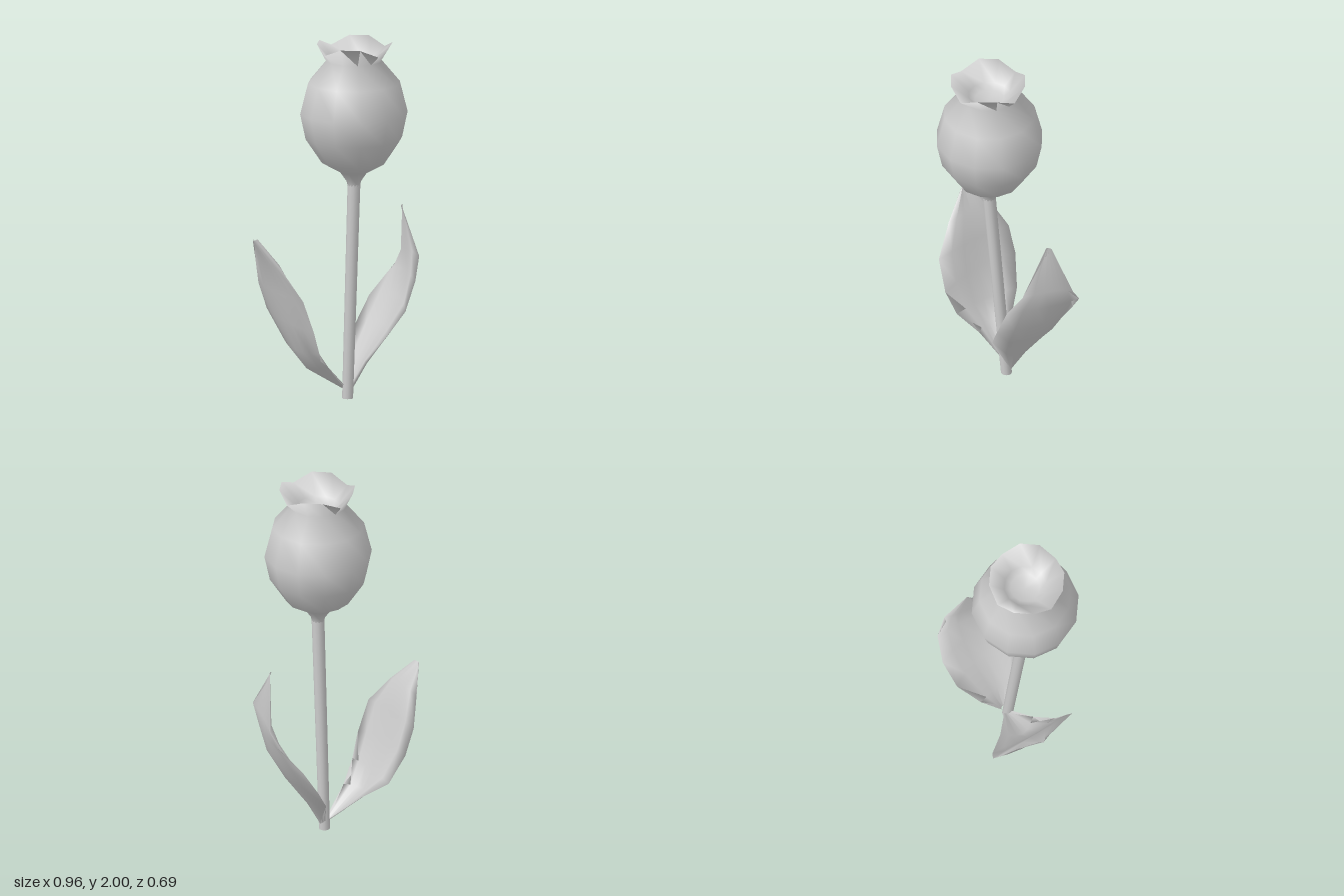
import * as THREE from 'three';
import { mergeVertices } from 'three/addons/utils/BufferGeometryUtils.js';

const material = new THREE.MeshStandardMaterial({ color: 0xcccccc, side: THREE.DoubleSide });

function addMesh(group, name, geometry) {
  const mesh = new THREE.Mesh(geometry, material);
  mesh.name = name;
  group.add(mesh);
  return mesh;
}

// Drop seams so that the shading runs smoothly all the way round.
function smooth(geometry) {
  geometry.deleteAttribute('uv');
  geometry.deleteAttribute('normal');
  const merged = mergeVertices(geometry, 1e-4);
  merged.computeVertexNormals();
  return merged;
}

// Closed flower head: twelve-sided lathe with a notched, flared rim and a bowl inside.
function flowerGeometry() {
  const profile = [
    [0.033, 1.2], [0.04, 1.23], [0.075, 1.28], [0.175, 1.335], [0.265, 1.47], [0.295, 1.61],
    [0.252, 1.78], [0.152, 1.9], [0.208, 2.0], [0.115, 1.9], [0.08, 1.875], [0, 1.865],
  ].map(([r, y]) => new THREE.Vector2(r, y));
  const rim = 8;
  const sides = 12;
  const geometry = new THREE.LatheGeometry(profile, sides, THREE.MathUtils.degToRad(9));
  const position = geometry.attributes.position;
  // Every third rim corner dips, leaving four petal tips.
  for (let i = 0; i <= sides; i++) {
    const v = i * profile.length + rim;
    if (i % 3 === 0) position.setY(v, 1.955);
    // The rim leans out a little at the front.
    position.setZ(v, position.getZ(v) + 0.01);
  }
  return smooth(geometry);
}

// Solid leaf from rows of [edge, midrib, edge]. A parabola joins the three on the
// outside; the inside is the same curve, thickened upwards and towards the stem.
function leafGeometry(rows, inward, columns = 6) {
  const thickness = 0.024;
  const ring = columns * 2;
  const vertices = [];
  const indices = [];
  rows.forEach(([first, mid, last], r) => {
    const taper = thickness * Math.min(1, 2 * Math.sin(Math.PI * r / (rows.length - 1)));
    for (let c = 0; c < ring; c++) {
      const inside = c > columns;
      const t = (inside ? ring - c : c) / columns * 2 - 1;
      const offset = inside ? taper * (1 - t ** 4) : 0;
      const shift = [inward * offset, offset * 0.8, 0];
      for (let k = 0; k < 3; k++) {
        vertices.push(first[k] * t * (t - 1) / 2 + mid[k] * (1 - t * t)
          + last[k] * t * (t + 1) / 2 + shift[k]);
      }
    }
  });
  for (let r = 0; r < rows.length - 1; r++) {
    for (let c = 0; c < ring; c++) {
      const a = r * ring + c;
      const b = r * ring + (c + 1) % ring;
      indices.push(a, b, a + ring, b, b + ring, a + ring);
    }
  }
  const geometry = new THREE.BufferGeometry();
  geometry.setAttribute('position', new THREE.Float32BufferAttribute(vertices, 3));
  geometry.setIndex(indices);
  geometry.computeVertexNormals();
  return geometry;
}

// Front edge, midrib, back edge
const leftLeafRows = [
  [[0.07, 0.06, -0.045], [0.09, 0.04, -0.06], [0.07, 0.06, -0.08]],
  [[0.11, 0.22, 0.05], [0.17, 0.18, -0.06], [0.12, 0.2, -0.18]],
  [[0.19, 0.36, 0.14], [0.31, 0.37, -0.06], [0.22, 0.34, -0.27]],
  [[0.29, 0.5, 0.18], [0.395, 0.52, -0.06], [0.33, 0.5, -0.295]],
  [[0.36, 0.66, 0.165], [0.44, 0.66, -0.07], [0.435, 0.63, -0.265]],
  [[0.42, 0.78, 0.1], [0.455, 0.77, -0.08], [0.478, 0.73, -0.195]],
  [[0.4, 1.03, -0.07], [0.415, 1.035, -0.08], [0.42, 1.03, -0.09]],
];

// Back edge, midrib, front edge
const rightLeafRows = [
  [[0.04, 0.07, -0.08], [0.04, 0.05, -0.06], [0.04, 0.07, -0.045]],
  [[-0.1, 0.21, -0.19], [-0.18, 0.185, -0.08], [-0.1, 0.2, 0.02]],
  [[-0.2, 0.31, -0.3], [-0.24, 0.29, -0.09], [-0.2, 0.3, 0.1]],
  [[-0.28, 0.48, -0.345], [-0.31, 0.46, -0.1], [-0.255, 0.43, 0.138]],
  [[-0.335, 0.63, -0.34], [-0.35, 0.62, -0.11], [-0.32, 0.61, 0.135]],
  [[-0.395, 0.78, -0.265], [-0.405, 0.78, -0.12], [-0.39, 0.77, 0.02]],
  [[-0.47, 0.92, -0.155], [-0.478, 0.915, -0.14], [-0.46, 0.925, -0.125]],
];

export function createModel() {
  const model = new THREE.Group();
  model.name = 'flower';

  // Stem leaning gently towards the front
  const foot = new THREE.Vector3(0.057, 0, -0.048);
  const top = new THREE.Vector3(0.04, 1.23, 0.055);
  const stem = new THREE.CylinderGeometry(0.035, 0.03, 1, 12, 1);
  const position = stem.attributes.position;
  for (let i = 0; i < position.count; i++) {
    const t = position.getY(i) + 0.5;
    const centre = foot.clone().lerp(top, t);
    position.setXYZ(i, position.getX(i) + centre.x, centre.y, position.getZ(i) + centre.z);
  }
  addMesh(model, 'stem', stem);

  // Flower head
  addMesh(model, 'flowerHead', flowerGeometry()).position.set(0.04, 0, 0.053);

  // Leaves
  addMesh(model, 'leftLeaf', leafGeometry(leftLeafRows, -1));
  addMesh(model, 'rightLeaf', leafGeometry(rightLeafRows, 1));

  return model;
}
